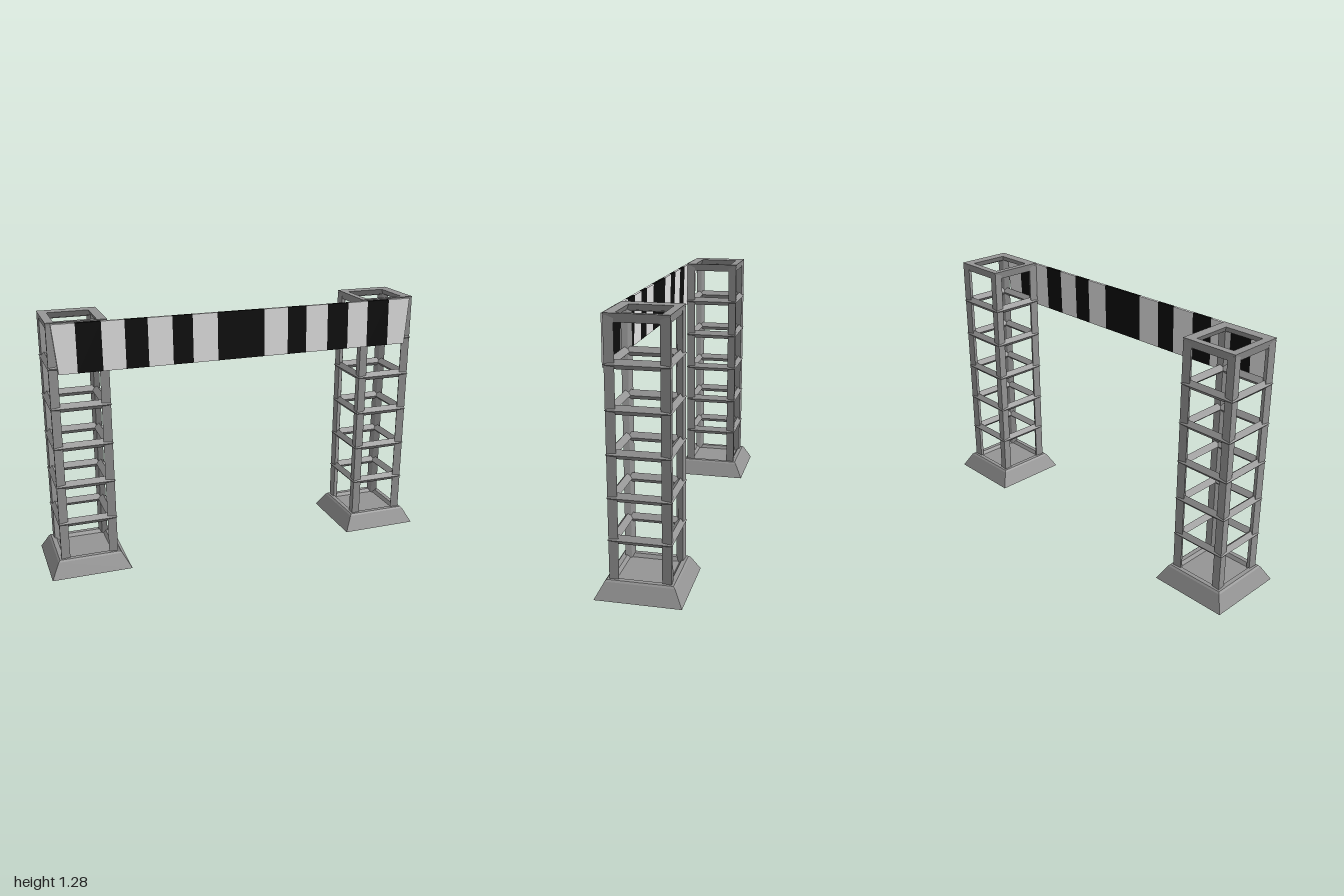
import * as THREE from 'three';

const steel = new THREE.MeshStandardMaterial({ color: 0x959595, flatShading: true });
steel.name = 'grey steel';
const white = new THREE.MeshStandardMaterial({ color: 0xe4e4e4, flatShading: true });
white.name = 'white paint';
const black = new THREE.MeshStandardMaterial({ color: 0x0d0d0d, flatShading: true });
black.name = 'black paint';

function add(parent, name, geometry, material) {
  const mesh = new THREE.Mesh(geometry, material);
  mesh.name = name;
  parent.add(mesh);
  return mesh;
}

// Sweeps a profile of [half width, height] points around a square
function squareSweep(profile) {
  const points = profile.map(([r, y]) => new THREE.Vector2(r * Math.SQRT2, y));
  return new THREE.LatheGeometry(points, 4, Math.PI / 4);
}

function createTower(name, x) {
  const tower = new THREE.Group();
  tower.name = name;
  tower.position.x = x;

  // Flared foot with a small bevel round the top
  add(tower, 'foot', squareSweep([
    [0, 0], [0.185, 0], [0.2, 0.004], [0.16, 0.078], [0.152, 0.086], [0.13, 0.086], [0.118, 0.07], [0, 0.07],
  ]), steel);

  // Four corner posts with a kite section
  const kite = new THREE.Shape([
    new THREE.Vector2(0.142, 0.142), new THREE.Vector2(0.098, 0.138),
    new THREE.Vector2(0.112, 0.112), new THREE.Vector2(0.138, 0.098),
  ]);
  const post = new THREE.ExtrudeGeometry(kite, { depth: 1.195, bevelEnabled: false });
  post.rotateX(-Math.PI / 2);
  for (let i = 0; i < 4; i++) {
    const mesh = add(tower, 'cornerPost', post, steel);
    mesh.position.y = 0.07;
    mesh.rotation.y = i * Math.PI / 2;
  }

  // Diamond-section rungs
  const rung = squareSweep([[0.125, -0.022], [0.146, 0], [0.125, 0.022], [0.1, 0], [0.125, -0.022]]);
  for (let i = 0; i < 5; i++) {
    add(tower, 'rung', rung, steel).position.y = 0.272 + i * 0.197;
  }

  // Top frame
  add(tower, 'topFrame', squareSweep([
    [0.114, 1.245], [0.134, 1.236], [0.143, 1.276], [0.1, 1.272], [0.114, 1.245],
  ]), steel);
  return tower;
}

// One painted length of the leaning banner; the banner ends taper downward
function bannerPiece(x0, x1) {
  const geometry = new THREE.BoxGeometry(1, 1, 1);
  const p = geometry.attributes.position;
  for (let i = 0; i < p.count; i++) {
    const low = p.getY(i) < 0;
    let x = p.getX(i) < 0 ? x0 : x1;
    if (low && Math.abs(x) > 0.9) x -= Math.sign(x) * 0.022;
    const front = low ? 0.164 : 0.156;
    p.setXYZ(i, x, low ? 1.035 : 1.27, p.getZ(i) > 0 ? front : front - 0.014);
  }
  geometry.computeVertexNormals();
  return geometry;
}

export function createModel() {
  const model = new THREE.Group();
  model.name = 'gate';
  model.add(createTower('leftTower', 0.8), createTower('rightTower', -0.8));

  // Striped banner, alternating white and black
  const banner = new THREE.Group();
  banner.name = 'banner';
  const edges = [-0.92, -0.81, -0.69, -0.58, -0.47, -0.35, -0.25, -0.125,
    0.115, 0.24, 0.34, 0.457, 0.57, 0.68, 0.8, 0.92];
  for (let i = 0; i < edges.length - 1; i++) {
    const dark = i % 2 === 1;
    add(banner, dark ? 'blackStripe' : 'whiteStripe', bannerPiece(edges[i], edges[i + 1]), dark ? black : white);
  }
  model.add(banner);
  return model;
}
